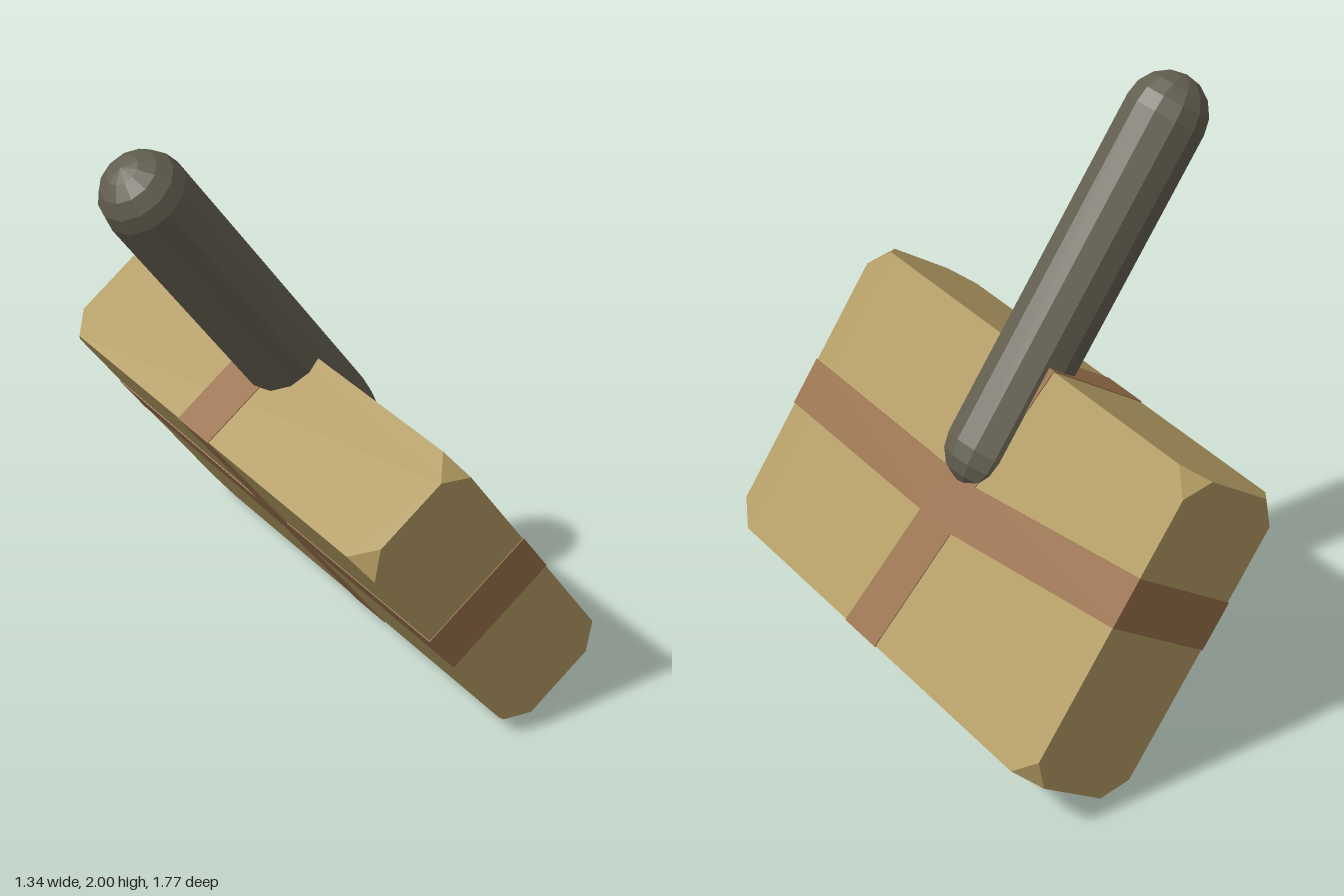
import * as THREE from 'three';
import { ConvexGeometry } from 'three/addons/geometries/ConvexGeometry.js';

const HX = 0.219, HY = 0.554, HZ = 0.883; // half sizes of the head block
const CUT = 0.083;                        // length of the corner cuts

function flat(name, color) {
  const m = new THREE.MeshStandardMaterial({ color, flatShading: true });
  m.name = name;
  return m;
}

// Box with its eight corners sliced off
function cutCornerBox() {
  const points = [];
  for (const sx of [-1, 1]) for (const sy of [-1, 1]) for (const sz of [-1, 1]) {
    points.push(
      new THREE.Vector3(sx * (HX - CUT), sy * HY, sz * HZ),
      new THREE.Vector3(sx * HX, sy * (HY - CUT), sz * HZ),
      new THREE.Vector3(sx * HX, sy * HY, sz * (HZ - CUT)));
  }
  return new ConvexGeometry(points);
}

// Crossed straps as one cross-shaped slab that just breaks every face
function crossedStraps() {
  const lift = 0.003, y = HY + lift, z = HZ + lift, b = 0.088;
  const outline = [
    [z, -b], [z, b],            // straight arm
    [b, b],
    [0.025, y], [-0.155, y],    // upper arm, leaning back
    [-b, b],
    [-z, 0.194], [-z, 0.017],   // rear arm, rising
    [-b, -b],
    [-0.025, -y], [0.155, -y],  // lower arm, leaning forward
    [b, -b],
  ];
  const shape = new THREE.Shape(outline.map(([u, v]) => new THREE.Vector2(u, v)));
  const depth = 2 * (HX + lift);
  const geo = new THREE.ExtrudeGeometry(shape, { depth, bevelEnabled: false });
  geo.translate(0, 0, -depth / 2);
  geo.rotateY(-Math.PI / 2);
  return geo;
}

export function createModel() {
  const tan = flat('tan block', 0xb09961);
  const brown = flat('brown strap', 0x97704b);
  const grey = flat('dark grey handle', 0x625e4f);

  const hammer = new THREE.Group();
  hammer.name = 'hammer';
  const add = (name, geo, mat) => {
    const mesh = new THREE.Mesh(geo, mat);
    mesh.name = name;
    hammer.add(mesh);
    return mesh;
  };

  add('head', cutCornerBox(), tan);
  add('straps', crossedStraps(), brown);

  // Round-ended handle, sunk into one broad face of the head
  const handle = add('handle', new THREE.CapsuleGeometry(0.145, 1.24, 4, 12, 1), grey);
  handle.position.set(0.165, 0.823, 0);

  // Lean the whole tool so it rests on one edge
  hammer.rotation.z = THREE.MathUtils.degToRad(35);
  hammer.position.set(0.17, 0.581, 0);

  const model = new THREE.Group();
  model.name = 'model';
  model.add(hammer);
  return model;
}
